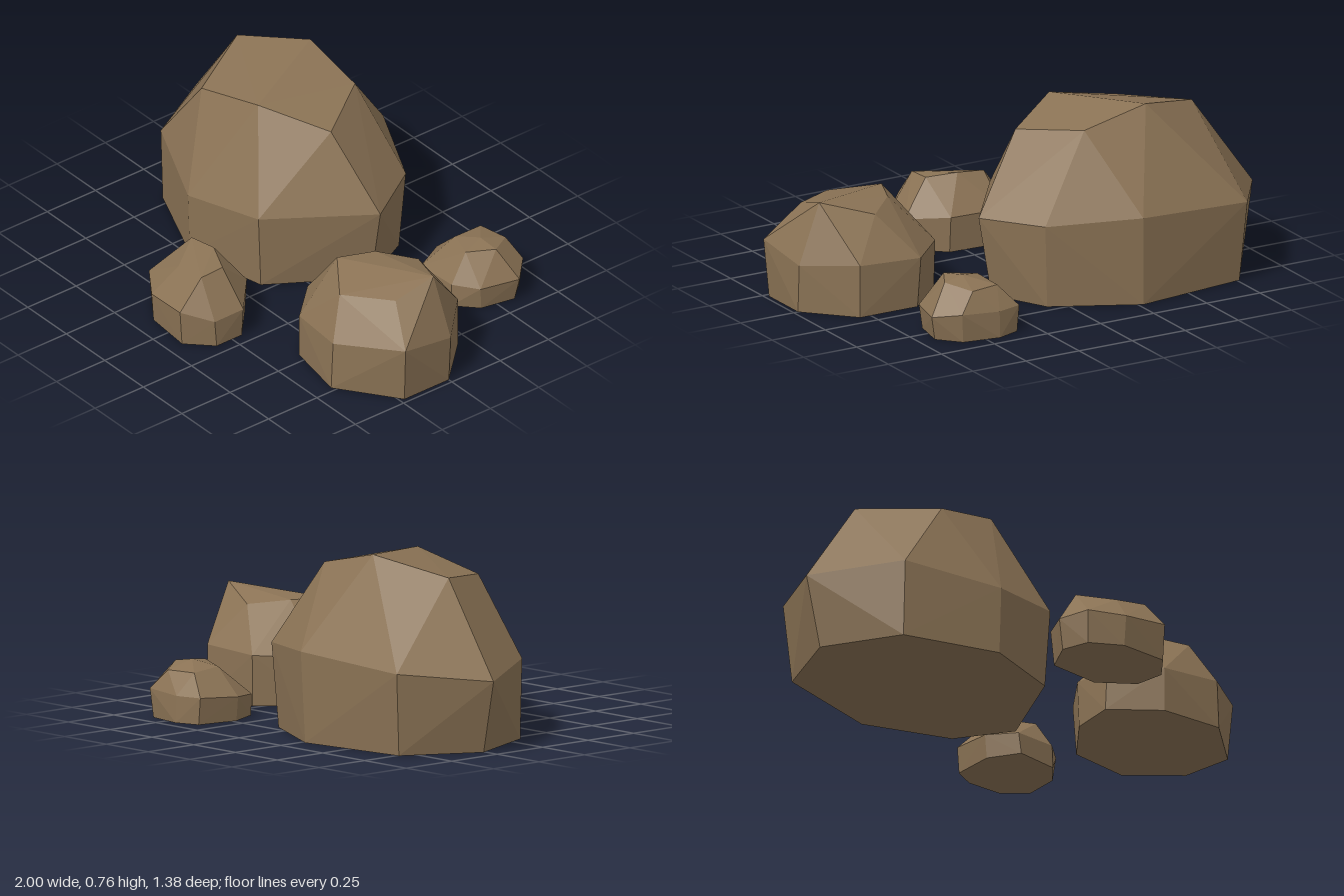
import * as THREE from 'three';
import { ConvexGeometry } from 'three/addons/geometries/ConvexGeometry.js';

// Each boulder: a flat base outline [x, z], a belt of widest points and a cap, both [x, y, z]
const ROCKS = {
  largeBoulder: {
    base: [[-0.93, -0.26], [-0.76, -0.57], [-0.27, -0.635], [0.08, -0.46],
      [0.2, -0.22], [-0.04, 0.16], [-0.4, 0.24], [-0.79, 0.07]],
    belt: [[-1, 0.3, -0.27], [-0.78, 0.34, -0.6], [-0.26, 0.375, -0.65], [0.1, 0.35, -0.48],
      [0.26, 0.34, -0.22], [-0.03, 0.33, 0.18], [-0.4, 0.285, 0.25], [-0.79, 0.33, 0.08]],
    cap: [[-0.72, 0.69, -0.26], [-0.42, 0.765, -0.4], [-0.13, 0.7, -0.4],
      [0.04, 0.66, -0.14], [-0.22, 0.725, 0.03], [-0.55, 0.65, 0.06]],
  },
  mediumBoulder: {
    base: [[0.29, 0.19], [0.46, 0.36], [0.73, 0.41], [0.98, 0.23],
      [0.98, 0], [0.8, -0.19], [0.53, -0.19], [0.34, 0]],
    belt: [[0.3, 0.18, 0.19], [0.46, 0.19, 0.36], [0.73, 0.21, 0.4], [1, 0.245, 0.24],
      [0.98, 0.2, -0.01], [0.8, 0.22, -0.19], [0.52, 0.21, -0.2], [0.34, 0.2, -0.01]],
    cap: [[0.48, 0.41, 0.18], [0.66, 0.375, 0.31], [0.86, 0.395, 0.18],
      [0.88, 0.45, 0], [0.67, 0.39, -0.09], [0.54, 0.41, 0.03]],
  },
  smallFrontStone: {
    base: [[-0.25, 0.45], [-0.23, 0.57], [-0.11, 0.66], [0.1, 0.68],
      [0.2, 0.58], [0.2, 0.45], [0.07, 0.33], [-0.16, 0.32]],
    belt: [[-0.27, 0.13, 0.45], [-0.24, 0.14, 0.58], [-0.11, 0.13, 0.67], [0.1, 0.155, 0.69],
      [0.2, 0.12, 0.59], [0.21, 0.13, 0.45], [0.07, 0.15, 0.32], [-0.17, 0.15, 0.31]],
    cap: [[-0.15, 0.285, 0.43], [-0.02, 0.3, 0.42], [0.1, 0.285, 0.47],
      [0.1, 0.28, 0.58], [-0.06, 0.25, 0.57]],
  },
  smallBackStone: {
    base: [[0.34, -0.66], [0.44, -0.695], [0.6, -0.67], [0.68, -0.58],
      [0.65, -0.43], [0.56, -0.345], [0.37, -0.345], [0.31, -0.48]],
    belt: [[0.33, 0.11, -0.66], [0.44, 0.11, -0.69], [0.61, 0.12, -0.68], [0.7, 0.1, -0.59],
      [0.66, 0.1, -0.42], [0.56, 0.1, -0.35], [0.36, 0.09, -0.35], [0.3, 0.1, -0.48]],
    cap: [[0.42, 0.21, -0.48], [0.41, 0.2, -0.62], [0.54, 0.2, -0.645],
      [0.61, 0.22, -0.54], [0.55, 0.22, -0.43], [0.52, 0.235, -0.53]],
  },
};

export function createModel() {
  const group = new THREE.Group();
  group.name = 'rockCluster';
  const stone = new THREE.MeshStandardMaterial({ color: 0x8b7355, flatShading: true });
  stone.name = 'brownStone';

  // Wrap a faceted convex hull round each set of points
  for (const [name, { base, belt, cap }] of Object.entries(ROCKS)) {
    const points = [...base.map(([x, z]) => [x, 0, z]), ...belt, ...cap]
      .map((p) => new THREE.Vector3(...p));
    const rock = new THREE.Mesh(new ConvexGeometry(points), stone);
    rock.name = name;
    group.add(rock);
  }
  return group;
}
